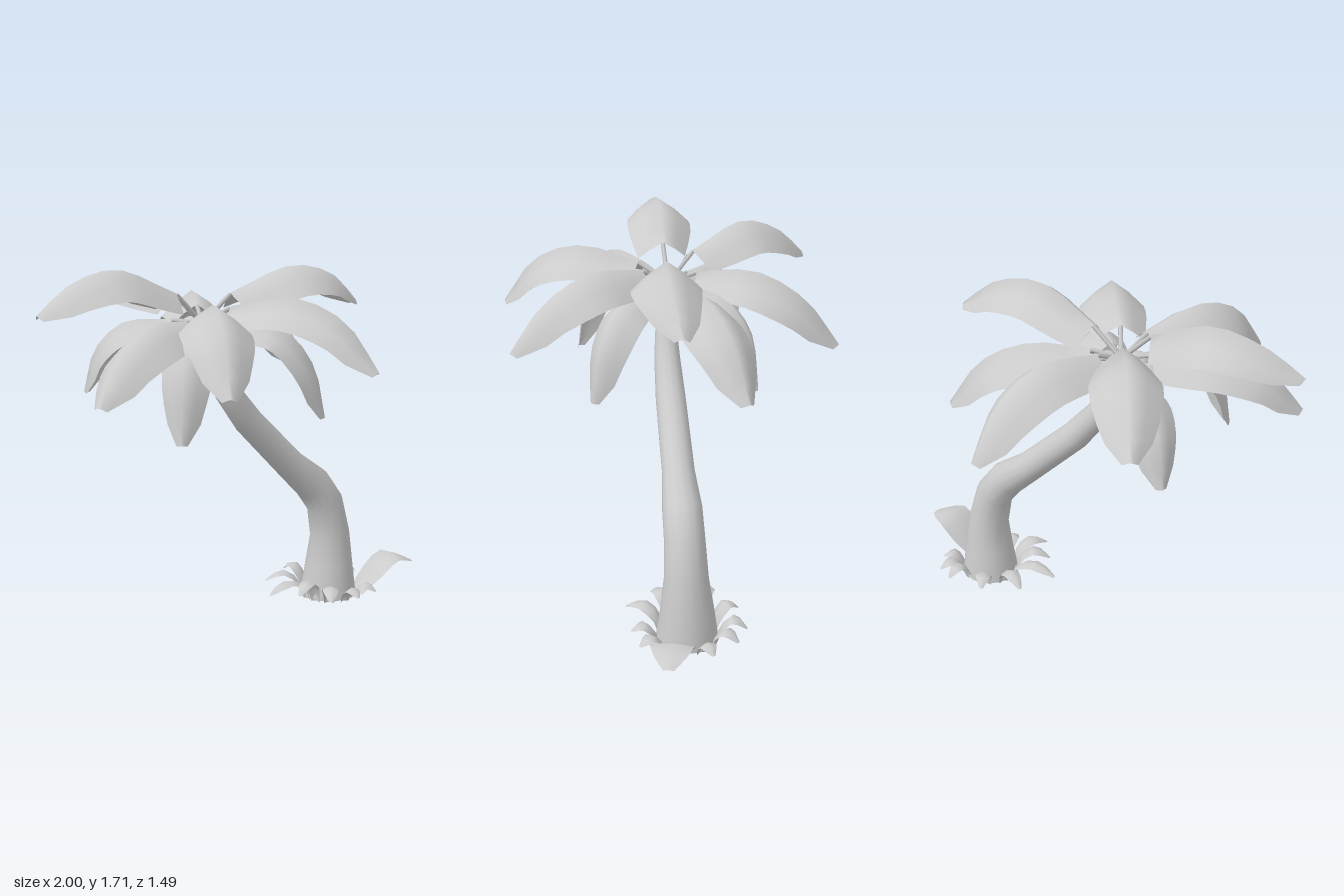
import * as THREE from 'three';

const grey = new THREE.MeshStandardMaterial({ color: 0xcccccc });
const leafMat = new THREE.MeshStandardMaterial({ color: 0xcccccc, side: THREE.DoubleSide });
const V = (x, y, z) => new THREE.Vector3(x, y, z);

function meshFrom(name, pos, idx, mat) {
  const g = new THREE.BufferGeometry();
  g.setAttribute('position', new THREE.Float32BufferAttribute(pos, 3));
  g.setIndex(idx);
  g.computeVertexNormals();
  const m = new THREE.Mesh(g, mat);
  m.name = name;
  return m;
}

// Folded leaf blade: a ridge curve with both sides sloping down from it.
// bow pushes the middle of the blade sideways.
function blade(name, points, widths, scale, fold, bow = 0) {
  const curve = new THREE.CatmullRomCurve3(points);
  const dir = points[points.length - 1].clone().sub(points[0]).setY(0).normalize();
  const side = dir.cross(V(0, 1, 0));
  const rows = widths.length, cols = [-1, -0.55, 0, 0.55, 1];
  const pos = [], idx = [];
  widths.forEach((w, i) => {
    const t = i / (rows - 1);
    const p = curve.getPointAt(t).addScaledVector(side, bow * Math.sin(Math.PI * t));
    const n = side.clone().cross(curve.getTangentAt(t)).normalize();
    for (const u of cols) {
      const q = p.clone().addScaledVector(side, u * w * scale)
        .addScaledVector(n, -fold * w * scale * Math.abs(u) ** 1.25);
      pos.push(q.x, q.y, q.z);
    }
  });
  for (let i = 0; i < rows - 1; i++) for (let j = 0; j < 4; j++) {
    const a = i * 5 + j, b = a + 5;
    idx.push(a, a + 1, b, a + 1, b + 1, b);
  }
  return meshFrom(name, pos, idx, leafMat);
}

// Leaning trunk: rings [x, y, z, radius] square to the path
function trunk() {
  const rings = [[0.575, 0.02, 0, 0.142], [0.577, 0.18, 0, 0.12], [0.575, 0.33, 0.005, 0.1],
    [0.535, 0.5, 0.008, 0.092], [0.455, 0.61, 0.008, 0.09], [0.32, 0.725, 0.007, 0.074],
    [0.07, 0.975, 0.009, 0.069], [-0.05, 1.13, 0.01, 0.06], [-0.12, 1.29, 0.008, 0.046],
    [-0.165, 1.46, 0, 0.03]];
  const N = 14, pos = [], idx = [];
  rings.forEach(([x, y, z, r], i) => {
    const a = rings[Math.max(i - 1, 0)], b = rings[Math.min(i + 1, rings.length - 1)];
    const t = V(b[0] - a[0], b[1] - a[1], 0).normalize();
    for (let j = 0; j < N; j++) {
      const c = Math.cos(j / N * 2 * Math.PI) * r, s = Math.sin(j / N * 2 * Math.PI) * r;
      pos.push(x + t.y * c, y - t.x * c, z + s);
      if (i < rings.length - 1) {
        const p = i * N + j, q = i * N + (j + 1) % N;
        idx.push(p, p + N, q, q, p + N, q + N);
      }
    }
  });
  return meshFrom('trunk', pos, idx, grey);
}

export function createModel() {
  const model = new THREE.Group();
  model.name = 'palmTree';
  model.add(trunk());

  const foot = new THREE.Mesh(new THREE.CylinderGeometry(0.14, 0.14, 0.01, 14), grey);
  foot.name = 'trunkFoot';
  foot.position.set(0.575, 0.02, 0);
  model.add(foot);

  // Fronds: tip x, tip z, sideways bow, then ridge heights at base, middle, outer part and tip
  const crown = V(-0.17, 1.45, -0.01);
  const fronds = [
    [-1.0, 0.02, 0.03, 1.6, 1.72, 1.67, 1.56],
    [0.68, 0.04, 0.04, 1.58, 1.69, 1.64, 1.5],
    [-0.58, -0.73, 0, 1.58, 1.67, 1.59, 1.45],
    [0.14, -0.75, 0.03, 1.52, 1.55, 1.44, 1.23],
    [-0.53, 0.74, 0, 1.54, 1.59, 1.5, 1.28],
    [0.24, 0.73, -0.03, 1.54, 1.59, 1.5, 1.3],
    [-0.9, 0.34, 0, 1.48, 1.5, 1.41, 1.22],
    [0.58, -0.26, 0, 1.49, 1.49, 1.38, 1.15],
    [-0.54, 0.39, 0, 1.46, 1.44, 1.28, 1.02],
    [0.23, 0.38, 0, 1.46, 1.44, 1.28, 1.04],
    [-0.57, -0.4, 0, 1.47, 1.45, 1.32, 1.12],
    [0.25, -0.36, 0, 1.47, 1.45, 1.32, 1.07],
  ];
  const widths = [0.11, 0.132, 0.148, 0.153, 0.15, 0.14, 0.122, 0.095, 0.032];
  fronds.forEach(([x, z, bow, ...ys], i) => {
    const small = i > 7;
    const stops = small ? [0.25, 0.65, 0.9, 1] : [0.17, 0.52, 0.8, 1];
    const pts = stops.map((s, k) => V(crown.x + (x - crown.x) * s, ys[k], crown.z + (z - crown.z) * s));
    const frond = new THREE.Group();
    frond.name = 'frond';
    frond.add(blade('frondBlade', pts, widths, small ? 0.75 : 1, 0.8, bow));
    // Stalk from the crown to just under the ridge
    const path = new THREE.QuadraticBezierCurve3(crown, crown.clone().lerp(pts[0], 0.5), pts[0].clone().add(V(0, -0.006, 0)));
    const stalk = new THREE.Mesh(new THREE.TubeGeometry(path, 3, 0.011, 5), grey);
    stalk.name = 'frondStalk';
    frond.add(stalk);
    model.add(frond);
  });

  // Four coconuts under the crown
  for (const [x, y, z, r] of [[-0.185, 1.36, 0.115, 0.067], [-0.275, 1.365, 0.03, 0.065],
    [-0.16, 1.41, -0.105, 0.065], [-0.1, 1.4, 0, 0.062]]) {
    const nut = new THREE.Mesh(new THREE.SphereGeometry(r, 14, 10), grey);
    nut.name = 'coconut';
    nut.position.set(x, y, z);
    model.add(nut);
  }

  // Small curled leaves round the foot: angle in degrees, reach, height
  const tufts = [[-20, 0.25, 0.1], [-50, 0.27, 0.13], [-72, 0.275, 0.15], [-112, 0.27, 0.14],
    [-150, 0.32, 0.14], [178, 0.375, 0.13], [155, 0.31, 0.15], [126, 0.32, 0.13],
    [92, 0.255, 0.1], [62, 0.26, 0.1]];
  for (const [deg, reach, h] of tufts) {
    const a = deg * Math.PI / 180;
    const pts = [[0.13, 0.01], [0.155, h * 0.65], [0.145 + (reach - 0.145) * 0.55, h], [reach, h * 0.62]]
      .map(([r, y]) => V(0.575 + Math.cos(a) * r, y, Math.sin(a) * r));
    model.add(blade('footLeaf', pts, [0.024, 0.032, 0.04, 0.04, 0.032, 0.008], 1, 0.4));
  }

  // One large leaf at the foot
  model.add(blade('largeFootLeaf',
    [V(0.69, 0.02, 0.075), V(0.77, 0.11, 0.09), V(0.88, 0.195, 0.11), V(1.0, 0.145, 0.14)],
    [0.06, 0.08, 0.095, 0.1, 0.095, 0.07, 0.025], 1, 0.15));

  return model;
}
